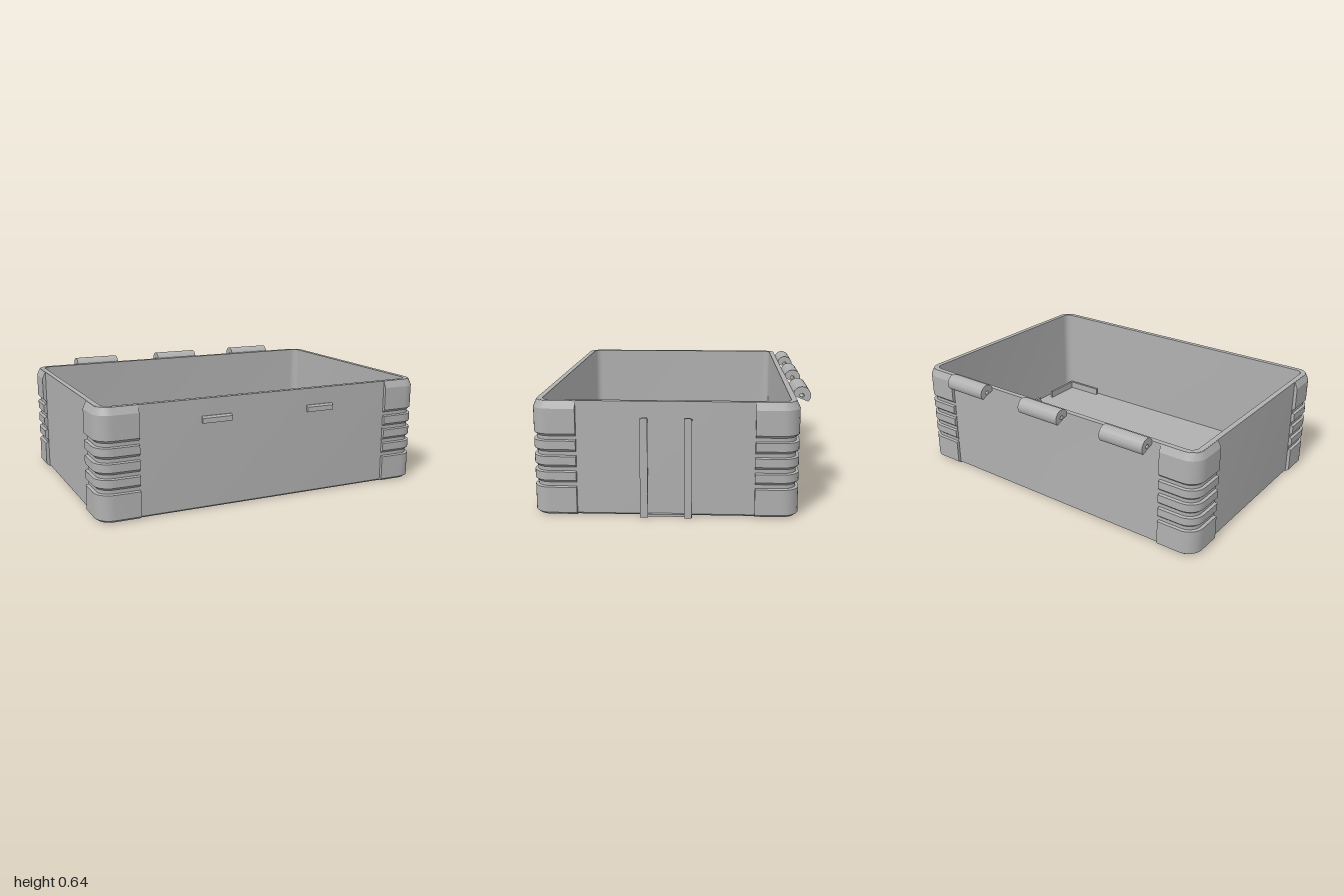
import * as THREE from 'three';
import { toCreasedNormals } from 'three/addons/utils/BufferGeometryUtils.js';

const CX = -0.01, CZ = 0.035;   // centre of the tray
const FLOOR = 0.04, TOP = 0.61;

// Skin a stack of closed rings (bottom to top) of [x, y, z] points
function loft(rings, flip = false) {
  const pos = [], n = rings[0].length;
  const tri = (a, b, c) => pos.push(...a, ...(flip ? c : b), ...(flip ? b : c));
  for (let i = 0; i < rings.length - 1; i++) {
    for (let j = 0; j < n; j++) {
      const k = (j + 1) % n, lo = rings[i], hi = rings[i + 1];
      tri(lo[j], hi[j], lo[k]);
      tri(lo[k], hi[j], hi[k]);
    }
  }
  const g = new THREE.BufferGeometry();
  g.setAttribute('position', new THREE.Float32BufferAttribute(pos, 3));
  return toCreasedNormals(g, 0.4);
}

// Rounded rectangle ring, inset from the tray's outer wall
function trayRing(y, inset, shrink = 1) {
  const hx = 0.97, hz = 0.675, R = 0.075, pts = [];
  for (let q = 0; q < 4; q++) {
    const sx = q === 0 || q === 3 ? 1 : -1, sz = q < 2 ? 1 : -1;
    for (let s = 0; s <= 8; s++) {
      const a = (q + s / 8) * Math.PI / 2, r = R - inset;
      pts.push([CX + shrink * (sx * (hx - R) + r * Math.cos(a)), y,
        CZ + shrink * (sz * (hz - R) + r * Math.sin(a))]);
    }
  }
  return pts;
}

// Corner guard path for one quadrant, running round the rounded corner
function cornerPath(y, inset, sx, sz) {
  const X = 0.99, Z = 0.693, R = 0.09, r = R - inset;
  const pts = [[X - inset, 0.463]];
  for (let s = 0; s <= 8; s++) {
    const a = s / 8 * Math.PI / 2;
    pts.push([X - R + r * Math.cos(a), Z - R + r * Math.sin(a)]);
  }
  pts.push([0.76, Z - inset]);
  return pts.map(([x, z]) => [CX + sx * x, y, CZ + sz * z]);
}

function cornerGeometry(sx, sz) {
  const back = y => cornerPath(y, 0.035, sx, sz).reverse();
  const cap = y => [...cornerPath(y, 0.035, sx, sz), ...back(y)];
  const levels = [[0.001, 0.018], [0.015, 0]];
  // Finger grooves
  for (const y of [0.152, 0.234, 0.317, 0.4]) {
    levels.push([y, 0], [y + 0.004, 0.016], [y + 0.024, 0.016], [y + 0.038, 0]);
  }
  levels.push([0.57, 0], [TOP - 0.001, 0.018]);
  const rings = levels.map(([y, d]) => [...cornerPath(y, d, sx, sz), ...back(y)]);
  return loft([cap(0.001), ...rings, cap(TOP - 0.001)], sx * sz < 0);
}

// Extrude a side profile drawn in (-z, y) along x
function sideExtrude(shape, x0, x1) {
  const g = new THREE.ExtrudeGeometry(shape, { depth: x1 - x0, bevelEnabled: false, curveSegments: 20 });
  g.rotateY(Math.PI / 2).translate(x0, 0, 0);
  return toCreasedNormals(g, 0.5);
}

export function createModel() {
  const model = new THREE.Group();
  model.name = 'storageBoxBase';
  const grey = new THREE.MeshStandardMaterial({ color: 0xb0b0b0 });
  grey.name = 'grey plastic';

  const add = (name, geometry, parent = model) => {
    const m = new THREE.Mesh(geometry, grey);
    m.name = name;
    parent.add(m);
    return m;
  };
  const box = (name, x0, x1, y0, y1, z0, z1, parent) =>
    add(name, new THREE.BoxGeometry(x1 - x0, y1 - y0, z1 - z0), parent)
      .position.set((x0 + x1) / 2, (y0 + y1) / 2, (z0 + z1) / 2);

  // Open tray with rounded corners and a small bottom chamfer
  add('tray', loft([
    trayRing(0, 0.012, 0), trayRing(0, 0.012), trayRing(0.01, 0),
    trayRing(TOP, 0), trayRing(TOP, 0.03),
    trayRing(FLOOR, 0.03), trayRing(FLOOR, 0.03, 0),
  ]));

  // Grooved corner guards
  for (const sx of [-1, 1]) for (const sz of [-1, 1]) add('cornerGuard', cornerGeometry(sx, sz));

  // Hinge knuckles on the back wall
  const knuckle = new THREE.Shape();
  knuckle.moveTo(0.636, 0.475);
  knuckle.absarc(0.684, 0.595, 0.048, -0.749, Math.PI, false);
  knuckle.closePath();
  const pinHole = new THREE.Path();
  pinHole.absarc(0.684, 0.595, 0.012, 0, Math.PI * 2, true);
  knuckle.holes.push(pinHole);
  for (const [a, b] of [[-0.715, -0.44], [-0.15, 0.13], [0.417, 0.695]]) add('hingeKnuckle', sideExtrude(knuckle, a, b));

  // Latch catches on the front wall
  const catchShape = new THREE.Shape([
    [-0.705, 0.478], [-0.705, 0.515], [-0.715, 0.515], [-0.726, 0.505], [-0.728, 0.478],
  ].map(p => new THREE.Vector2(...p)));
  for (const [a, b] of [[-0.418, -0.245], [0.224, 0.39]]) add('latchCatch', sideExtrude(catchShape, a, b));

  // Slide-in holder on the side: two hooked rails and a bottom stop
  const holder = new THREE.Group();
  holder.name = 'sideHolder';
  model.add(holder);
  for (const s of [-1, 1]) {
    const z = o => 0.031 + s * o;
    const stem = [z(0.115), z(0.134)].sort((a, b) => a - b);
    box('railStem', 0.95, 0.982, 0, 0.52, ...stem, holder);
    // Lip with a bevelled upper outer corner
    const lip = new THREE.Shape([
      [0.094, 0], [0.134, 0], [0.134, 0.518], [0.125, 0.53], [0.1, 0.53], [0.094, 0.522],
    ].map(([o, y]) => new THREE.Vector2(-z(o), y)));
    add('railLip', sideExtrude(lip, 0.98, 1.0), holder);
  }
  box('holderStop', 0.95, 0.98, 0, 0.012, -0.09, 0.15, holder);

  // L-shaped locating ribs on the floor
  const yTop = FLOOR + 0.045, t = 0.016;
  for (const [x, sx] of [[-0.915, 1], [0.892, -1]]) {
    for (const [z, sz] of [[0.042, 1], [0.667, -1]]) {
      const span = (p, s, len) => [Math.min(p, p + s * len), Math.max(p, p + s * len)];
      box('floorRib', ...span(x, sx, 0.25), FLOOR - 0.01, yTop, ...span(z, sz, t));
      box('floorRib', ...span(x, sx, t), FLOOR - 0.01, yTop, ...span(z, sz, 0.248));
    }
  }

  // Mounting posts: flared foot, column and a split pin
  const postGeo = toCreasedNormals(new THREE.LatheGeometry([
    [0.05, 0], [0.05, 0.01], [0.034, 0.03], [0.034, 0.09], [0, 0.09],
  ].map(p => new THREE.Vector2(...p)), 24), 0.5);
  const half = new THREE.Shape();
  half.absarc(0, 0, 0.02, -Math.PI / 2 + 0.2, Math.PI / 2 - 0.2, false);
  half.closePath();
  const pinGeo = toCreasedNormals(
    new THREE.ExtrudeGeometry(half, { depth: 0.03, bevelEnabled: false }).rotateX(-Math.PI / 2), 0.5);
  for (const [x, z] of [[0.735, -0.53], [0.2, -0.37], [0.2, -0.073], [0.75, -0.02]]) {
    const post = new THREE.Group();
    post.name = 'mountingPost';
    post.position.set(x, FLOOR, z);
    model.add(post);
    add('postColumn', postGeo, post);
    for (const turn of [0, Math.PI]) {
      const pin = add('splitPin', pinGeo, post);
      pin.position.y = 0.09;
      pin.rotation.y = turn;
    }
  }
  return model;
}
